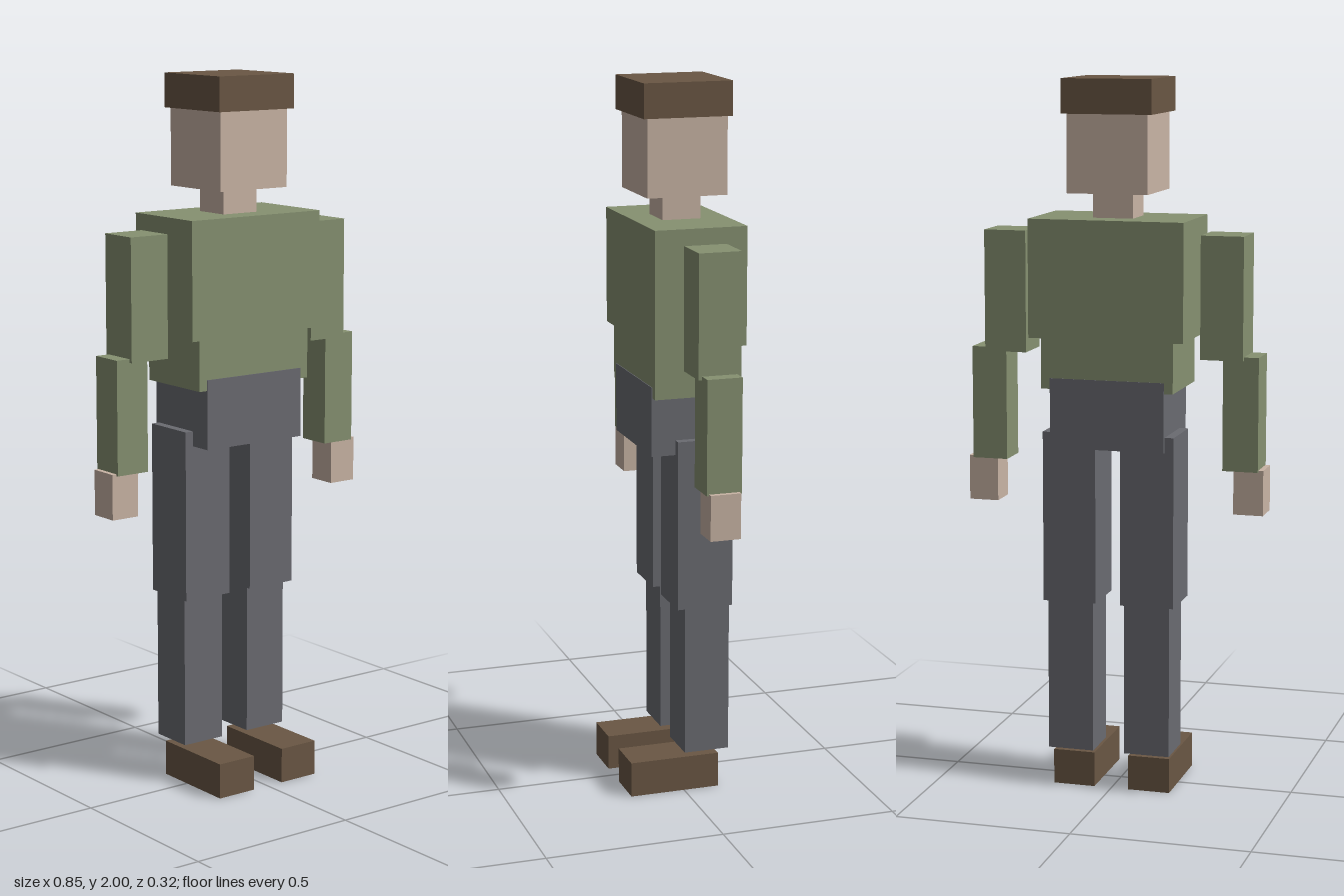
import * as THREE from 'three';

const mat = (name, color) => {
  const m = new THREE.MeshStandardMaterial({ color });
  m.name = name;
  return m;
};

export function createModel() {
  const shirt = mat('green shirt', 0x869171);
  const trousers = mat('grey trousers', 0x6a6b71);
  const skin = mat('skin', 0xc9b4a5);
  const brown = mat('brown leather', 0x6a5744);

  // Box given by its [min, max] extent along each axis
  const block = (name, material, [x0, x1], [y0, y1], [z0, z1]) => {
    const mesh = new THREE.Mesh(new THREE.BoxGeometry(x1 - x0, y1 - y0, z1 - z0), material);
    mesh.position.set((x0 + x1) / 2, (y0 + y1) / 2, (z0 + z1) / 2);
    mesh.name = name;
    return mesh;
  };

  const model = new THREE.Group();
  model.name = 'blockFigure';

  // Head and torso
  model.add(
    block('cap', brown, [-0.127, 0.127], [1.905, 2], [-0.15, 0.102]),
    block('head', skin, [-0.114, 0.114], [1.69, 1.905], [-0.14, 0.088]),
    block('neck', skin, [-0.057, 0.057], [1.61, 1.69], [-0.083, 0.026]),
    block('chest', shirt, [-0.22, 0.22], [1.292, 1.62], [-0.16, 0.102]),
    block('abdomen', shirt, [-0.188, 0.188], [1.15, 1.3], [-0.146, 0.091]),
    block('pelvis', trousers, [-0.163, 0.163], [0.985, 1.18], [-0.147, 0.093]),
  );

  // Limbs, mirrored left (+x) and right (-x)
  const limbs = [
    ['UpperArm', shirt, [0.25, 0.37], [1.24, 1.58], [-0.09, 0.03]],
    ['Forearm', shirt, [0.312, 0.412], [0.932, 1.25], [-0.079, 0.02]],
    ['Hand', skin, [0.342, 0.426], [0.81, 0.937], [-0.072, 0.014]],
    ['Thigh', trousers, [0.036, 0.188], [0.545, 1.027], [-0.135, 0.025]],
    ['Shin', trousers, [0.045, 0.176], [0.115, 0.552], [-0.13, 0]],
    ['Shoe', brown, [0.05, 0.17], [0, 0.1], [-0.102, 0.157]],
  ];
  for (const [part, material, [x0, x1], y, z] of limbs) {
    model.add(block('left' + part, material, [x0, x1], y, z));
    model.add(block('right' + part, material, [-x1, -x0], y, z));
  }
  return model;
}
